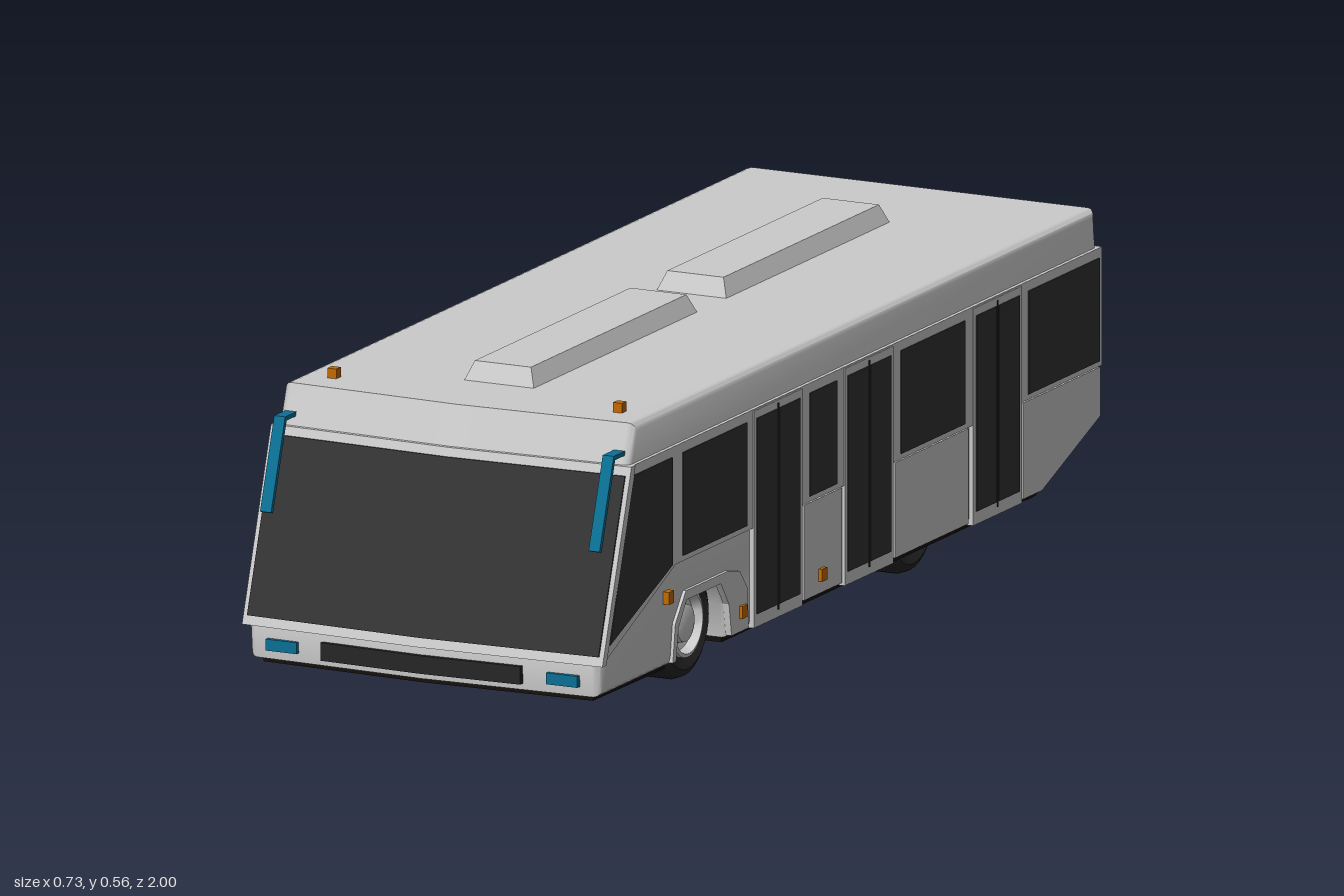
import * as THREE from 'three';
import { toCreasedNormals } from 'three/addons/utils/BufferGeometryUtils.js';

const mat = (color) => new THREE.MeshStandardMaterial({ color });
const SIDES = [1, -1];

export function createModel() {
  const bus = new THREE.Group();
  bus.name = 'bus';
  const grey = mat(0xcccccc), glass = mat(0x333333), dark = mat(0x15110e);
  const rubber = mat(0x262626), orange = mat(0xc46a00), teal = mat(0x0b7095);

  const add = (name, geometry, material, parent = bus) => {
    const mesh = new THREE.Mesh(geometry, material);
    mesh.name = name;
    parent.add(mesh);
    return mesh;
  };
  const box = (name, material, w, h, d, x, y, z) =>
    add(name, new THREE.BoxGeometry(w, h, d).translate(x, y, z), material);
  const shapeOf = (pts) => new THREE.Shape(pts.map(([a, b]) => new THREE.Vector2(a, b)));
  // Applies a rule to every vertex
  const bend = (geometry, rule) => {
    const p = geometry.attributes.position;
    const v = new THREE.Vector3();
    for (let i = 0; i < p.count; i++) {
      rule(v.fromBufferAttribute(p, i));
      p.setXYZ(i, v.x, v.y, v.z);
    }
    geometry.computeVertexNormals();
    return geometry;
  };
  // Extrudes a (z, y) outline from x0 to x1
  const profile = (pts, x0, x1, options = {}) =>
    new THREE.ExtrudeGeometry(shapeOf(pts), { depth: x1 - x0, bevelEnabled: false, ...options })
      .rotateY(-Math.PI / 2).translate(x1, 0, 0);
  // The same plate on both flanks
  const plates = (name, material, pts, x0, x1) => SIDES.forEach((s) =>
    add(name, s > 0 ? profile(pts, x0, x1) : profile(pts, -x1, -x0), material));
  const rect = (z0, z1, y0, y1) => [[z0, y0], [z1, y0], [z1, y1], [z0, y1]];

  // Shallow V of the nose and its rake
  const vee = (x) => 0.014 * (1 - Math.abs(x) / 0.36);
  const noseZ = (x, y) => vee(x) + (y < 0.117 ? 0.978 : 0.978 - (y - 0.117) * 0.337);
  const nosePanel = (name, material, halfWidth, y0, y1, thickness) =>
    add(name, bend(new THREE.BoxGeometry(2 * halfWidth, y1 - y0, thickness, 2, 1, 1)
      .translate(0, (y0 + y1) / 2, 0), (v) => { v.z += noseZ(v.x, v.y); }).toNonIndexed(), material);

  // Body shell with front wheel arches and a cut-away tail
  const bevel = 0.014;
  const hull = [
    [0.974, 0.055], [0.98, 0.117], [0.862, 0.46], [0.838, 0.53], [-0.98, 0.53],
    [-0.988, 0.46], [-0.988, 0.14], [-0.76, 0.055], [0.468, 0.055], [0.478, 0.12],
    [0.51, 0.165], [0.645, 0.165], [0.677, 0.12], [0.687, 0.055],
  ];
  const hullGeometry = profile(hull, -0.351 + bevel, 0.351 - bevel, {
    steps: 2, bevelEnabled: true, bevelSize: bevel, bevelThickness: bevel,
    bevelOffset: -bevel, bevelSegments: 3,
  });
  bend(hullGeometry, (v) => { if (v.z > 0.8) v.z += vee(v.x); });
  add('bodyShell', toCreasedNormals(hullGeometry, 0.6), grey);

  // Underside, notched at the front wheels
  const floorHalf = [[0, 0.975], [0.33, 0.962], [0.335, 0.69], [0.2, 0.69], [0.2, 0.465],
    [0.335, 0.465], [0.335, -0.76]];
  const floorOutline = [...floorHalf, ...floorHalf.slice(1).reverse().map(([x, z]) => [-x, z])];
  add('floor', new THREE.ExtrudeGeometry(shapeOf(floorOutline), { depth: 0.022, bevelEnabled: false })
    .rotateX(Math.PI / 2).translate(0, 0.067, 0), dark);
  add('tailFloor', profile([[-0.74, 0.045], [-0.74, 0.065], [-0.985, 0.146], [-0.975, 0.122],
    [-0.77, 0.046]], -0.337, 0.337), dark);
  box('wheelWell', dark, 0.4, 0.12, 0.23, 0, 0.115, 0.577);

  // Window band along each flank
  plates('windowBand', grey, [[0.978, 0.117], [0.865, 0.458], [-0.992, 0.458], [-0.992, 0.24],
    [0.69, 0.24]], 0.345, 0.358);
  plates('driverWindow', glass, [[0.952, 0.148], [0.866, 0.44], [0.706, 0.44], [0.706, 0.242]],
    0.35, 0.36);
  for (const [z0, z1] of [[0.412, 0.663], [0.056, 0.163], [-0.449, -0.198], [-0.98, -0.7]]) {
    plates('sideWindow', glass, rect(z0, z1, 0.25, 0.44), 0.35, 0.36);
  }

  // Double doors
  for (const z of [0.289, -0.07, -0.577]) {
    plates('doorFrame', grey, rect(z - 0.096, z + 0.096, 0.056, 0.455), 0.345, 0.3595);
    for (const s of SIDES) {
      plates('doorLeaf', glass, rect(z + s * 0.045 - 0.04, z + s * 0.045 + 0.04, 0.08, 0.44),
        0.35, 0.3615);
    }
    plates('doorSeal', rubber, rect(z - 0.002, z + 0.002, 0.07, 0.45), 0.35, 0.361);
  }

  // Lower skirts
  plates('skirt', grey, rect(0.03, 0.18, 0.062, 0.237), 0.345, 0.356);
  plates('skirt', grey, rect(-0.47, -0.18, 0.062, 0.237), 0.345, 0.356);
  plates('rearSkirt', grey, [[-0.685, 0.06], [-0.685, 0.237], [-0.99, 0.237], [-0.99, 0.147],
    [-0.76, 0.06]], 0.345, 0.356);

  // Raised lip around each front arch
  plates('archLip', grey, [
    [0.687, 0.06], [0.677, 0.12], [0.645, 0.165], [0.51, 0.165], [0.478, 0.12], [0.468, 0.06],
    [0.4, 0.06], [0.405, 0.135], [0.435, 0.172], [0.48, 0.182], [0.648, 0.182], [0.69, 0.13],
    [0.7, 0.06],
  ], 0.345, 0.357);

  // Windscreen and front details
  nosePanel('windscreenFrame', grey, 0.361, 0.115, 0.458, 0.016);
  nosePanel('windscreen', glass, 0.352, 0.132, 0.442, 0.022);
  nosePanel('grille', rubber, 0.2, 0.067, 0.1, 0.018);
  for (const s of SIDES) box('headlight', teal, 0.062, 0.021, 0.02, s * 0.281, 0.083, 0.979);
  plates('mirror', teal, [[0.83, 0.474], [0.83, 0.482], [0.9, 0.482], [0.956, 0.318],
    [0.948, 0.315], [0.894, 0.474]], 0.318, 0.34);

  // Rear window, vent and lights
  box('rearBand', grey, 0.716, 0.218, 0.014, 0, 0.349, -0.986);
  box('rearWindow', glass, 0.7, 0.19, 0.012, 0, 0.345, -0.989);
  box('rearVent', rubber, 0.12, 0.026, 0.012, 0, 0.492, -0.982);
  for (const s of SIDES) box('rearLight', orange, 0.18, 0.022, 0.016, s * 0.24, 0.175, -0.99);

  // Tapered roof units
  for (const z of [0.36, -0.4]) {
    const unit = bend(new THREE.BoxGeometry(0.144, 0.04, 0.65), (v) => {
      if (v.y > 0) { v.x *= 0.78; v.z -= Math.sign(v.z) * 0.018; }
    });
    add('roofUnit', unit.translate(0, 0.544, z), grey);
  }

  // Marker lamps
  for (const s of SIDES) {
    box('roofMarker', orange, 0.018, 0.022, 0.018, s * 0.286, 0.537, 0.77);
    for (const [y, z] of [[0.185, 0.717], [0.096, 0.427], [0.096, 0.112]]) {
      box('sideMarker', orange, 0.016, 0.023, 0.02, s * 0.355, y, z);
    }
  }

  // Wheels
  const lathe = (pts) => toCreasedNormals(
    new THREE.LatheGeometry(pts.map(([r, y]) => new THREE.Vector2(r, y)), 32), 0.7);
  const tyre = lathe([[0, -0.05], [0.06, -0.05], [0.084, -0.057], [0.097, -0.05], [0.103, -0.035],
    [0.103, 0.035], [0.097, 0.05], [0.084, 0.057], [0.06, 0.05]]);
  const rim = lathe([[0.064, 0.045], [0.062, 0.058], [0.055, 0.06], [0.05, 0.042], [0.037, 0.04],
    [0.034, 0.054], [0.028, 0.056], [0, 0.056]]);
  for (const z of [0.577, -0.315]) {
    for (const s of SIDES) {
      const wheel = new THREE.Group();
      wheel.name = z > 0 ? 'frontWheel' : 'rearWheel';
      wheel.position.set(s * 0.267, 0.103, z);
      wheel.rotation.z = -s * Math.PI / 2;
      add('tyre', tyre, rubber, wheel);
      add('rim', rim, grey, wheel);
      bus.add(wheel);
    }
  }
  return bus;
}
